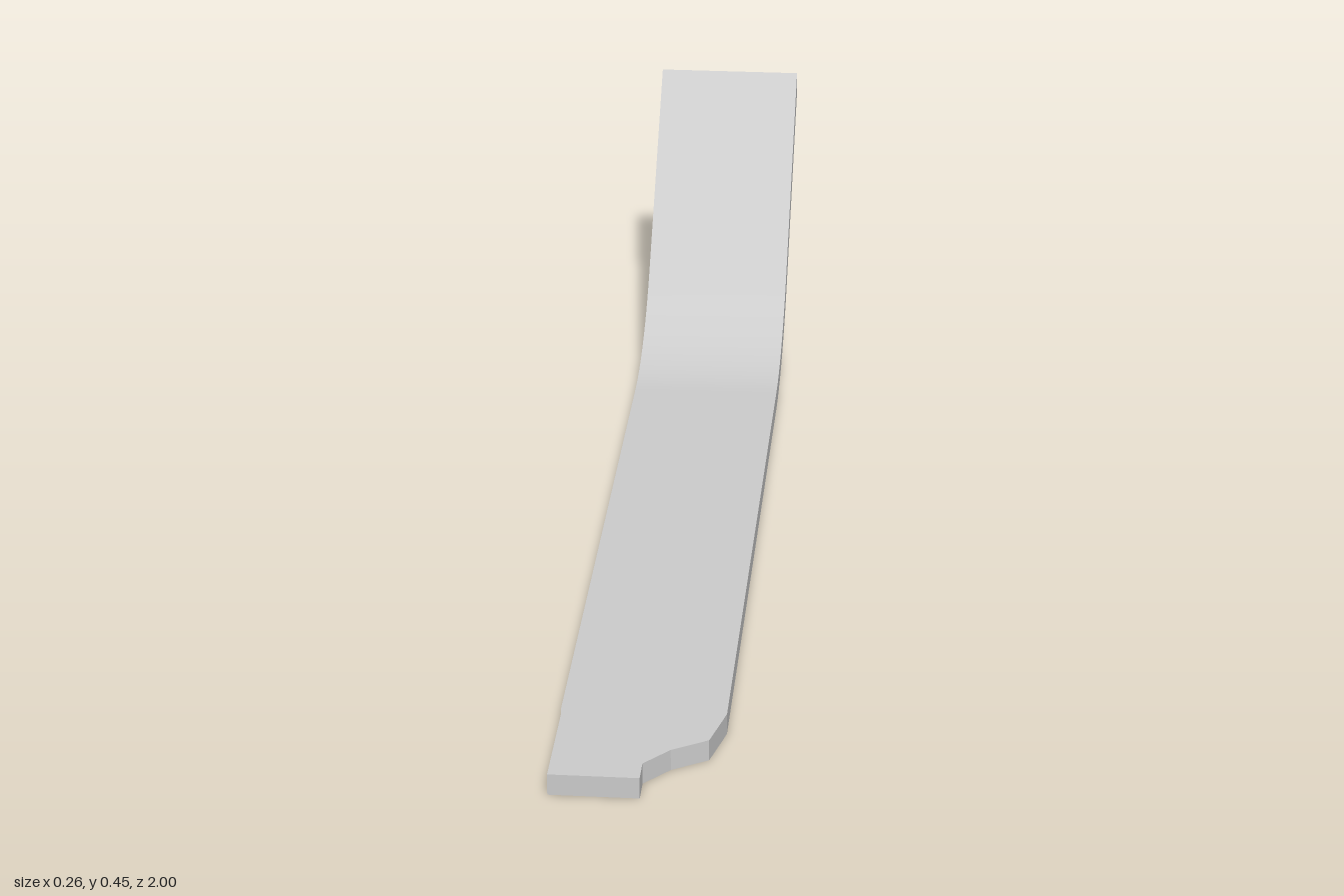
import * as THREE from 'three';
import { toCreasedNormals } from 'three/addons/utils/BufferGeometryUtils.js';

const HALF = 0.129, THICK = 0.035;

// Cross-section of the strip: x limits, then top and bottom points as [z, y]
const section = (x0, x1, top, bottom) => [
  [x0, top[1], top[0]], [x1, top[1], top[0]],
  [x1, bottom[1], bottom[0]], [x0, bottom[1], bottom[0]],
];

// Skin four-cornered sections running front to back, and cap both ends
function loft(sections) {
  const index = [];
  const quad = (a, b, c, d) => index.push(a, b, c, a, c, d);
  for (let i = 0; i < sections.length - 1; i++) {
    for (let j = 0; j < 4; j++) {
      const k = (j + 1) % 4;
      quad(i * 4 + j, i * 4 + k, i * 4 + 4 + k, i * 4 + 4 + j);
    }
  }
  const e = (sections.length - 1) * 4;
  quad(3, 2, 1, 0);
  quad(e, e + 1, e + 2, e + 3);
  const geometry = new THREE.BufferGeometry();
  geometry.setAttribute('position', new THREE.Float32BufferAttribute(sections.flat(2), 3));
  geometry.setIndex(index);
  return toCreasedNormals(geometry, 0.2);
}

export function createModel() {
  const sections = [];

  // Notched front tip: [z, left edge, right edge]
  const tip = [
    [1, -0.127, 0.013], [0.955, -0.127, 0.013], [0.91, -0.127, 0.052],
    [0.875, -0.127, 0.108], [0.815, -0.127, 0.123], [0.79, -HALF, HALF],
  ];
  for (const [z, x0, x1] of tip) sections.push(section(x0, x1, [z, THICK], [z, 0]));

  // Upward bend with concentric inner and outer arcs
  const radius = 0.43, bendZ = -0.426, angle = THREE.MathUtils.degToRad(45.5), steps = 14;
  const arc = (r, a) => [bendZ - r * Math.sin(a), radius - r * Math.cos(a)];
  for (let i = 0; i <= steps; i++) {
    const a = angle * i / steps;
    sections.push(section(-HALF, HALF, arc(radius - THICK, a), arc(radius, a)));
  }

  // Straight ramp, cut off vertically at the back
  const rampEnd = ([z, y]) => [-1, y + (z + 1) * Math.tan(angle)];
  sections.push(section(-HALF, HALF,
    rampEnd(arc(radius - THICK, angle)), rampEnd(arc(radius, angle))));

  const strip = new THREE.Mesh(loft(sections), new THREE.MeshStandardMaterial({ color: 0xcccccc }));
  strip.name = 'bentStrip';
  const group = new THREE.Group();
  group.name = 'bentBracket';
  group.add(strip);
  return group;
}
